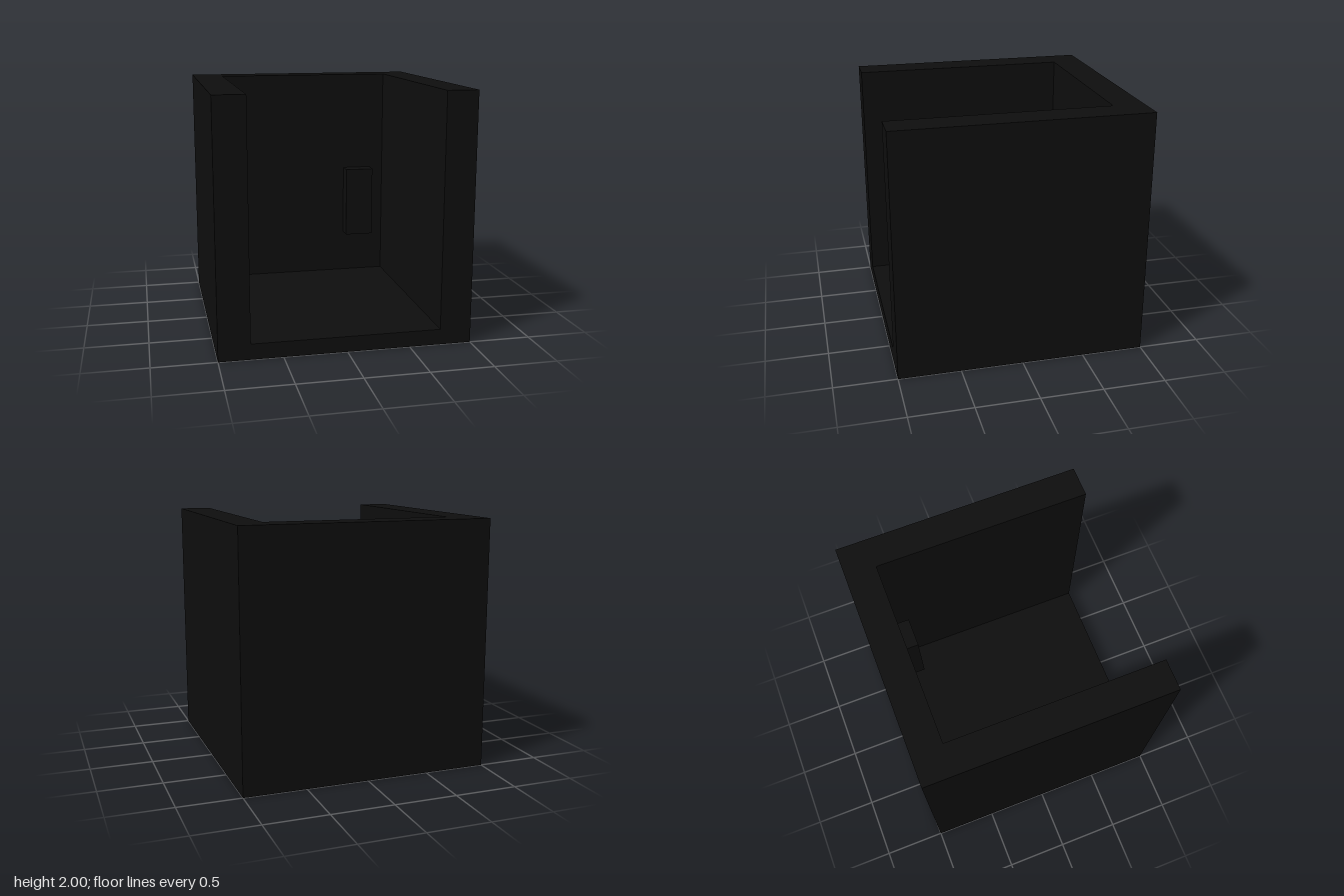
import * as THREE from 'three';

export function createModel() {
  const model = new THREE.Group();
  model.name = 'openBox';
  const black = new THREE.MeshStandardMaterial({ color: 0x0e0e0e });
  black.name = 'black';

  const add = (name, geometry, x = 0, y = 0, z = 0) => {
    const mesh = new THREE.Mesh(geometry, black);
    mesh.name = name;
    mesh.position.set(x, y, z);
    model.add(mesh);
    return mesh;
  };

  // U-shaped walls, open to the front and the top (shape y becomes -z)
  const plan = new THREE.Shape([
    [-1, -1], [-0.75, -1], [-0.75, 0.75], [0.75, 0.75],
    [0.75, -1], [1, -1], [1, 1], [-1, 1],
  ].map(([x, y]) => new THREE.Vector2(x, y)));
  const walls = new THREE.ExtrudeGeometry(plan, { depth: 2, bevelEnabled: false });
  walls.rotateX(-Math.PI / 2);
  add('walls', walls);

  // Floor between the walls
  add('floor', new THREE.BoxGeometry(1.5, 0.125, 1.75), 0, 0.0625, 0.125);

  // Raised block on the inside of the back wall
  add('wallBlock', new THREE.BoxGeometry(0.25, 0.625, 0.125), 0.5, 0.8125, -0.6875);

  return model;
}
